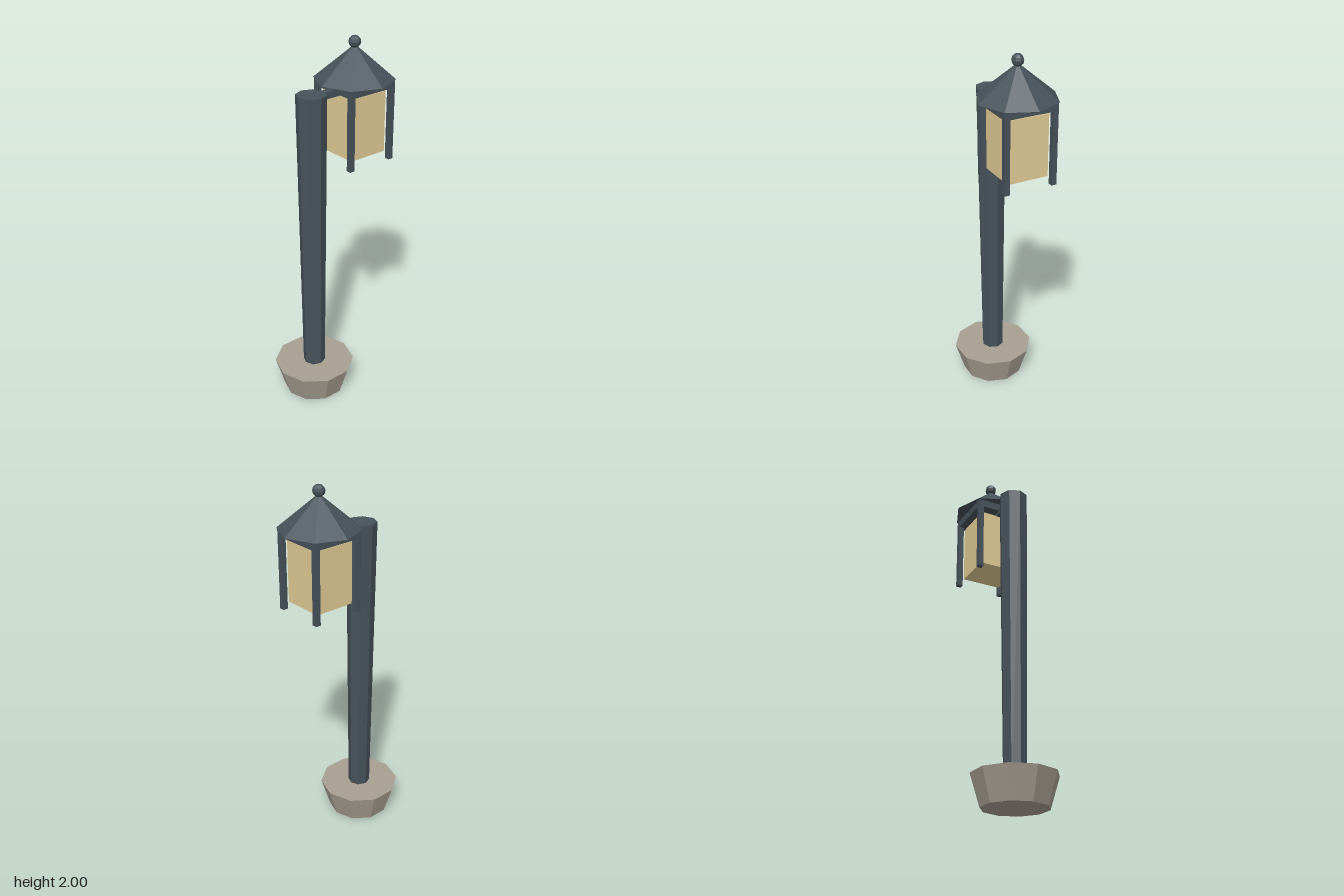
import * as THREE from 'three';

const POST_Z = 0.13, LAMP_Z = -0.147;

export function createModel() {
  const model = new THREE.Group();
  const material = (color) => new THREE.MeshStandardMaterial({ color, flatShading: true });
  const iron = material(0x46525a);
  const stone = material(0xa89f92);
  const glass = material(0xe2cc96);

  const add = (parent, name, geometry, mat, x, y, z) => {
    const mesh = new THREE.Mesh(geometry, mat);
    mesh.name = name;
    mesh.position.set(x, y, z);
    parent.add(mesh);
    return mesh;
  };

  // Ten-sided footing, wider at the top, and tapered octagonal post
  add(model, 'base', new THREE.CylinderGeometry(0.222, 0.172, 0.165, 10), stone, 0, 0.0825, POST_Z);
  add(model, 'post', new THREE.CylinderGeometry(0.079, 0.06, 1.655, 8), iron, 0, 0.9275, POST_Z);

  // Arm reaching back from the post to the lantern
  add(model, 'arm', new THREE.BoxGeometry(0.04, 0.035, 0.26), iron, 0, 1.735, -0.03);

  const lantern = new THREE.Group();
  lantern.name = 'lantern';
  lantern.position.z = LAMP_Z;
  model.add(lantern);

  // Glowing pane box, top frame and corner bars
  add(lantern, 'glass', new THREE.BoxGeometry(0.225, 0.33, 0.225), glass, 0, 1.555, 0);
  add(lantern, 'topFrame', new THREE.BoxGeometry(0.288, 0.043, 0.288), iron, 0, 1.7585, 0);
  for (const sx of [-1, 1]) {
    for (const sz of [-1, 1]) {
      add(lantern, 'cornerBar', new THREE.BoxGeometry(0.028, 0.43, 0.028), iron, sx * 0.131, 1.565, sz * 0.131);
    }
  }

  // Eight-sided roof with ball finial
  add(lantern, 'roof', new THREE.ConeGeometry(0.21, 0.175, 8), iron, 0, 1.8675, 0);
  add(lantern, 'finial', new THREE.SphereGeometry(0.032, 8, 6), iron, 0, 1.968, 0);

  return model;
}
